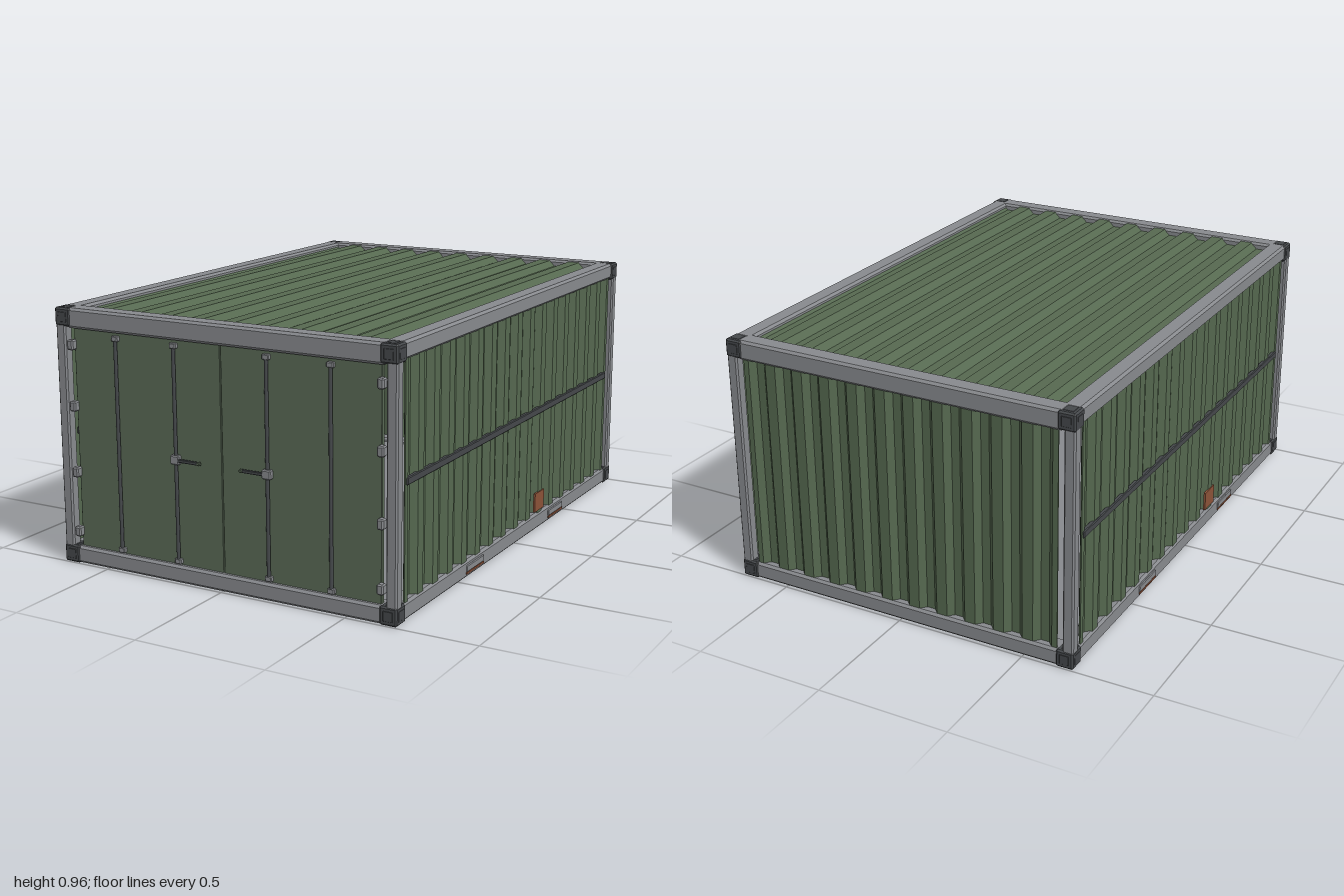
import * as THREE from 'three';
import { ConvexGeometry } from 'three/addons/geometries/ConvexGeometry.js';

const mat = (name, color) => {
  const m = new THREE.MeshStandardMaterial({ color });
  m.name = name;
  return m;
};

export function createModel() {
  const model = new THREE.Group();
  model.name = 'cargoContainer';
  const green = mat('wallGreen', 0x566950);
  const doorGreen = mat('doorGreen', 0x5a6a56);
  const grey = mat('frameGrey', 0x888a8e);
  const dark = mat('darkSteel', 0x45484b);
  const rust = mat('rustOrange', 0x8c5238);

  const add = (name, geometry, material, parent = model) => {
    const m = new THREE.Mesh(geometry, material);
    m.name = name;
    parent.add(m);
    return m;
  };

  // Box given by its minimum and maximum corners, with chamfered edges
  const block = (name, min, max, material, bevel = 0, parent = model) => {
    const h = min.map((v, i) => (max[i] - v) / 2);
    const c = min.map((v, i) => (max[i] + v) / 2);
    let geo;
    if (bevel) {
      const pts = [];
      for (const sx of [-1, 1]) for (const sy of [-1, 1]) for (const sz of [-1, 1])
        for (let k = 0; k < 3; k++) {
          const [x, y, z] = h.map((v, i) => (i === k ? v : v - bevel));
          pts.push(new THREE.Vector3(sx * x, sy * y, sz * z));
        }
      geo = new ConvexGeometry(pts);
    } else geo = new THREE.BoxGeometry(h[0] * 2, h[1] * 2, h[2] * 2);
    const m = add(name, geo, material, parent);
    m.position.set(...c);
    return m;
  };

  // Sheet with trapezoid ribs: runs across x, ridges at y = 0, extruded along z
  const corrugated = (width, count, length) => {
    const p = width / count, depth = 0.022, t = 0.005, top = [];
    for (let i = 0; i < count; i++) {
      const x = -width / 2 + i * p;
      top.push([x, 0], [x + p * 0.18, 0], [x + p * 0.36, -depth], [x + p * 0.64, -depth], [x + p * 0.82, 0]);
    }
    top.push([width / 2, 0]);
    const under = top.map(([x, y]) => [x, y - t]).reverse();
    const shape = new THREE.Shape([...top, ...under].map(([x, y]) => new THREE.Vector2(x, y)));
    return new THREE.ExtrudeGeometry(shape, { depth: length, bevelEnabled: false });
  };
  const X = new THREE.Vector3(1, 0, 0), Y = new THREE.Vector3(0, 1, 0), Z = new THREE.Vector3(0, 0, 1);

  // Roof, back wall and floor
  add('roofPanel', corrugated(1.32, 10, 1.88).translate(0, 0.956, -0.94), green);
  add('backWall', corrugated(1.26, 11, 0.85)
    .applyMatrix4(new THREE.Matrix4().makeBasis(X, Z.clone().negate(), Y))
    .translate(0, 0.055, -0.986), green);
  block('floor', [-0.65, 0.005, -0.95], [0.65, 0.05, 0.95], grey);
  for (const z of [-0.557, -0.19, 0.19, 0.557])
    block('floorCrossmember', [-0.62, 0, z - 0.018], [0.62, 0.02, z + 0.018], dark);

  // The two long sides repeat by a half turn
  for (const turn of [0, Math.PI]) {
    const side = new THREE.Group();
    side.name = turn ? 'rightSide' : 'leftSide';
    side.rotation.y = turn;
    model.add(side);
    add('sideWall', corrugated(1.85, 16, 0.85)
      .applyMatrix4(new THREE.Matrix4().makeBasis(Z, X, Y))
      .translate(0.688, 0.058, 0), green, side);
    block('sideMidRail', [0.676, 0.471, -0.915], [0.693, 0.498, 0.915], dark, 0.003, side);
    block('bottomSideRail', [0.622, 0.001, -0.95], [0.693, 0.067, 0.95], grey, 0.009, side);
    block('topSideRail', [0.622, 0.897, -0.95], [0.693, 0.96, 0.95], grey, 0.009, side);
    block('repairPatch', [0.684, 0.075, -0.265], [0.692, 0.15, -0.177], rust, 0, side);
    for (const z of [-0.38, 0.38]) {
      block('forkPocket', [0.68, 0.024, z - 0.072], [0.697, 0.05, z + 0.072], grey, 0.003, side);
      block('forkPocketRust', [0.69, 0.017, z - 0.072], [0.697, 0.024, z + 0.072], rust, 0, side);
    }
  }

  // End beams
  for (const s of [-1, 1]) {
    const zs = [s * 0.92, s * 0.995].sort((a, b) => a - b);
    block('bottomEndBeam', [-0.65, 0.001, zs[0]], [0.65, 0.066, zs[1]], grey, 0.009);
    block('topEndBeam', [-0.65, 0.886, zs[0]], [0.65, 0.96, zs[1]], grey, 0.009);
  }

  // Corner posts and castings
  for (const sx of [-1, 1]) for (const sz of [-1, 1]) {
    const corner = new THREE.Group();
    corner.name = 'corner';
    model.add(corner);
    const post = block('cornerPost', [-0.021, 0.04, -0.021], [0.021, 0.92, 0.021], grey, 0.006, corner);
    post.position.set(sx * 0.675, 0.48, sz * 0.975);
    for (const y of [0.0345, 0.9255]) {
      const cast = block('cornerCasting', [-0.0335, 0, -0.0335], [0.0335, 0.067, 0.0335], dark, 0.006, corner);
      cast.position.set(sx * 0.6635, y, sz * 0.9655);
      // Raised square pad on every face
      for (const axis of [0, 1, 2]) {
        const half = [0.019, 0.019, 0.019];
        half[axis] = 0.0345;
        const pad = block('castingPad', half.map(v => -v), half, dark, 0.002, corner);
        pad.position.copy(cast.position);
      }
    }
  }

  // Doors with locking rods, handles and hinges
  for (const s of [-1, 1]) {
    const door = new THREE.Group();
    door.name = s > 0 ? 'leftDoor' : 'rightDoor';
    model.add(door);
    const put = (name, x, y, z, w, h, d, material, bevel) =>
      block(name, [s * x - w / 2, y - h / 2, z - d / 2], [s * x + w / 2, y + h / 2, z + d / 2], material, bevel, door);
    put('doorPanel', 0.315, 0.475, 0.967, 0.628, 0.83, 0.018, doorGreen, 0.002);
    for (const x of [0.19, 0.44]) {
      const rod = add('lockingRod', new THREE.CylinderGeometry(0.007, 0.007, 0.8, 10), dark, door);
      rod.position.set(s * x, 0.472, 0.984);
      for (const y of [0.08, 0.865])
        put('rodBracket', x, y, 0.982, 0.027, 0.02, 0.018, grey, 0.003);
    }
    put('handleBox', 0.19, 0.456, 0.985, 0.037, 0.034, 0.022, grey, 0.004);
    put('handleLever', 0.133, 0.456, 0.991, 0.1, 0.012, 0.01, dark, 0.002);
    put('handleGrip', 0.088, 0.456, 0.992, 0.014, 0.013, 0.014, doorGreen, 0.003);
    for (const y of [0.123, 0.35, 0.598, 0.825])
      put('hinge', 0.633, y, 0.985, 0.026, 0.038, 0.03, grey, 0.005);
  }
  return model;
}
